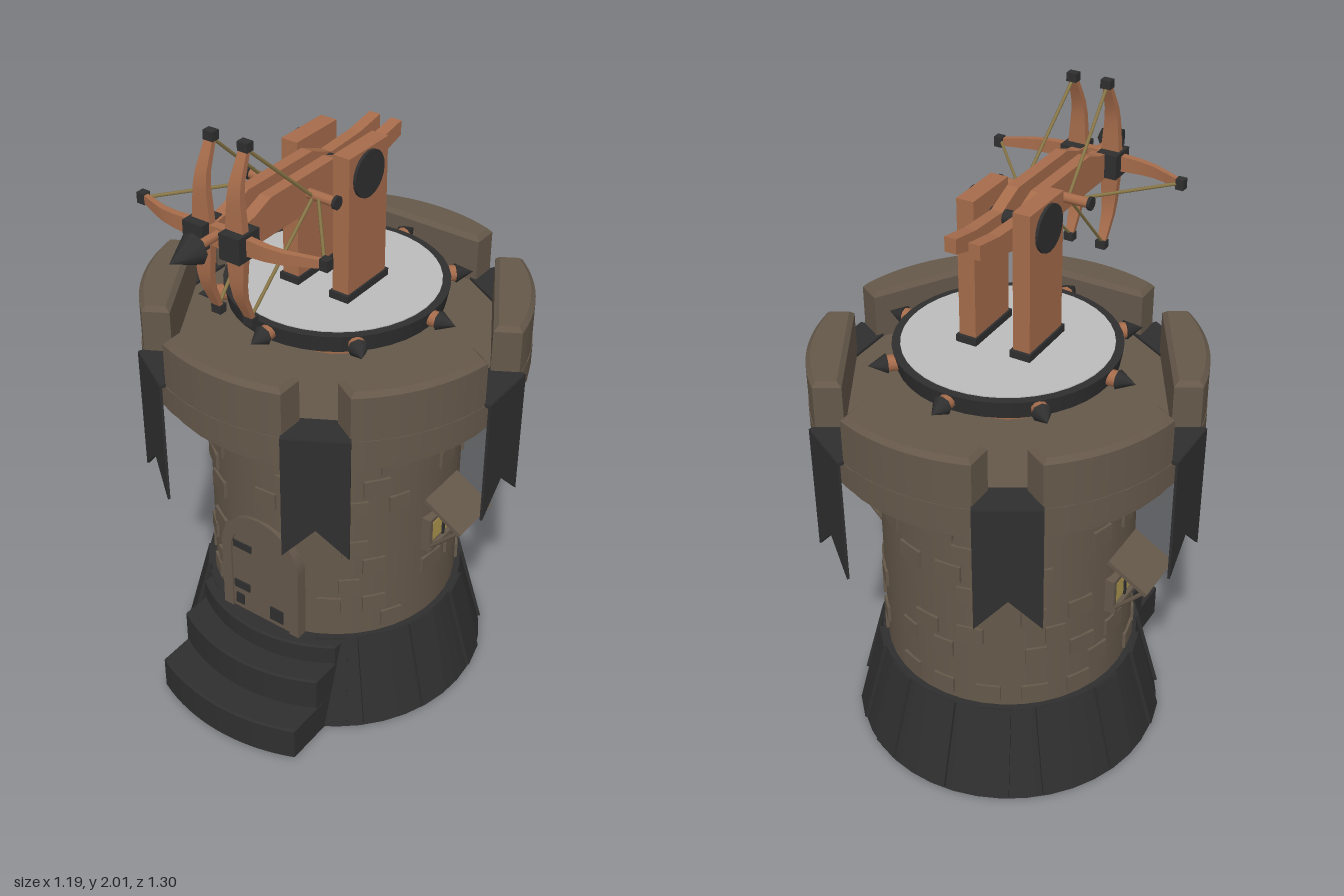
import * as THREE from 'three';

const mat = (name, color) => {
  const m = new THREE.MeshStandardMaterial({ color });
  m.name = name;
  return m;
};
const V = (x, y, z) => new THREE.Vector3(x, y, z);

export function createModel() {
  const stone = mat('stone', 0x65584a);
  const wood = mat('wood', 0xa66c4b);
  const dark = mat('darkIron', 0x2f2f30);
  const disc = mat('paleDisc', 0xbcbcbc);
  const glow = mat('windowYellow', 0xae9750);
  const cord = mat('cord', 0x8a7848);

  const model = new THREE.Group();
  model.name = 'ballistaTower';
  const tower = new THREE.Group();
  tower.name = 'tower';
  tower.position.z = -0.065;
  model.add(tower);

  const add = (parent, name, geo, m, x = 0, y = 0, z = 0) => {
    const mesh = new THREE.Mesh(geo, m);
    mesh.name = name;
    mesh.position.set(x, y, z);
    parent.add(mesh);
    return mesh;
  };
  const box = (p, name, m, w, h, d, x, y, z) => add(p, name, new THREE.BoxGeometry(w, h, d), m, x, y, z);
  // Upright round section between two heights
  const drum = (name, m, rTop, rBot, y0, y1, sides = 40) =>
    add(tower, name, new THREE.CylinderGeometry(rTop, rBot, y1 - y0, sides), m, 0, (y0 + y1) / 2);
  // Group turned about the tower axis; its +z points outward
  const spoke = (name, deg) => {
    const g = new THREE.Group();
    g.name = name;
    g.rotation.y = THREE.MathUtils.degToRad(deg);
    tower.add(g);
    return g;
  };
  // Straight round bar between two points
  const bar = (p, name, m, a, b, r, sides = 6) => {
    const mesh = add(p, name, new THREE.CylinderGeometry(r, r, a.distanceTo(b), sides), m);
    mesh.position.copy(a).add(b).multiplyScalar(0.5);
    mesh.quaternion.setFromUnitVectors(V(0, 1, 0), b.clone().sub(a).normalize());
    return mesh;
  };
  // Block with curved outer face and straight inner face, facing +z
  const arcBlock = (inner, r, half, y0, y1, bevel) => {
    const s = new THREE.Shape();
    const ro = r - bevel;
    s.moveTo(-Math.sin(half) * ro, inner + bevel);
    s.lineTo(Math.sin(half) * ro, inner + bevel);
    s.absarc(0, 0, ro, Math.PI / 2 - half, Math.PI / 2 + half, false);
    const g = new THREE.ExtrudeGeometry(s, {
      depth: y1 - y0 - 2 * bevel, bevelEnabled: bevel > 0, bevelSize: bevel,
      bevelThickness: bevel, bevelSegments: 1, curveSegments: 8,
    });
    return g.rotateX(Math.PI / 2).translate(0, y1 - bevel, 0);
  };

  // Base skirt with overlapping slabs
  drum('baseSkirt', dark, 0.415, 0.495, 0, 0.31);
  for (const deg of [34, 52, 76, 104, 132, 156, 180, -34, -52, -76, -104, -132, -156]) {
    const slab = box(spoke('baseSlab', deg), 'slab', dark, 0.1, 0.31, 0.025, 0, 0.16, 0.449);
    slab.rotation.x = -0.25;
  }

  // Entrance steps
  [[0.64, 0, 0.125], [0.535, 0.115, 0.24], [0.452, 0.23, 0.31]].forEach(([r, y0, y1]) =>
    add(tower, 'step', arcBlock(0.3, r, Math.asin(0.26 / r), y0, y1, 0.006), dark));

  // Body and overhanging crown
  drum('towerBody', stone, 0.395, 0.395, 0.3, 1.09);
  drum('lowerCrown', stone, 0.55, 0.55, 1.08, 1.135);
  drum('upperCrown', stone, 0.585, 0.585, 1.13, 1.205);

  // Raised bricks, staggered and thinned by a seeded generator
  let seed = 7;
  const rand = () => (seed = (seed * 16807) % 2147483647) / 2147483647;
  for (let row = 0; row < 10; row++) {
    for (let col = 0; col < 18; col++) {
      const deg = col * 20 + (row % 2) * 10 + rand() * 4 - 180;
      const y = 0.36 + row * 0.075, a = Math.abs(deg);
      const byDoor = a < 27 && y < 0.76;
      const byWindow = a > 70 && a < 110 && y > 0.53 && y < 0.82;
      if (rand() < 0.5 || byDoor || byWindow) continue;
      box(spoke('brick', deg), 'brickFace', stone, 0.06 + rand() * 0.03, 0.058, 0.02, 0, y, 0.392);
    }
  }

  // Six merlons with a banner over each gap
  const flag = new THREE.Shape([[-0.097, 0.8], [0, 0.9], [0.097, 0.8], [0.097, 1.212], [-0.097, 1.212]]
    .map(([x, y]) => new THREE.Vector2(x, y)));
  const flagGeo = new THREE.ExtrudeGeometry(flag, { depth: 0.008, bevelEnabled: false });
  for (let i = 0; i < 6; i++) {
    add(spoke('merlon', i * 60), 'merlonBlock', arcBlock(0.462, 0.582, 0.345, 1.19, 1.36, 0.014), stone);
    const b = spoke('banner', i * 60 + 30);
    add(b, 'bannerCloth', flagGeo, dark, 0, 0, 0.586);
    box(b, 'bannerFold', dark, 0.194, 0.012, 0.1, 0, 1.208, 0.542);
  }

  // Arched door with frame and iron straps
  const arch = (w, top, Kind = THREE.Shape) => {
    const s = new Kind();
    s.moveTo(-w, 0.3);
    s.lineTo(w, 0.3);
    s.lineTo(w, top - w);
    s.absarc(0, top - w, w, 0, Math.PI, false);
    s.lineTo(-w, 0.3);
    return s;
  };
  const plate = (shape) => new THREE.ExtrudeGeometry(shape, { depth: 0.06, bevelEnabled: false, curveSegments: 16 });
  const frame = arch(0.147, 0.71);
  frame.holes.push(arch(0.112, 0.665, THREE.Path));
  add(tower, 'doorFrame', plate(frame), stone, 0, 0, 0.344);
  add(tower, 'door', plate(arch(0.115, 0.67)), stone, 0, 0, 0.337);
  for (const [x, y, w, h] of [[-0.07, 0.575, 0.07, 0.025], [-0.075, 0.41, 0.06, 0.03],
    [0.06, 0.355, 0.05, 0.05], [-0.085, 0.35, 0.03, 0.04]])
    box(tower, 'doorStrap', dark, w, h, 0.006, x, y, 0.399);

  // Side windows with a sloping hood on struts
  for (const deg of [90, -90]) {
    const w = spoke('window', deg);
    box(w, 'windowBack', dark, 0.15, 0.1, 0.02, 0, 0.64, 0.394);
    for (const s of [-1, 1]) {
      box(w, 'windowPane', glow, 0.056, 0.07, 0.008, s * 0.036, 0.637, 0.404);
      box(w, 'windowJamb', stone, 0.016, 0.12, 0.03, s * 0.08, 0.64, 0.4);
      bar(w, 'hoodStrut', stone, V(s * 0.08, 0.59, 0.405), V(s * 0.08, 0.695, 0.505), 0.007);
    }
    box(w, 'windowMullion', dark, 0.01, 0.1, 0.02, 0, 0.64, 0.402);
    box(w, 'windowSill', stone, 0.176, 0.014, 0.035, 0, 0.587, 0.402);
    box(w, 'windowLintel', stone, 0.176, 0.014, 0.03, 0, 0.695, 0.4);
    box(w, 'windowHood', stone, 0.18, 0.014, 0.15, 0, 0.735, 0.455).rotation.x = 0.53;
  }

  // Turntable with spiked iron rim
  drum('turntablePost', wood, 0.155, 0.155, 1.2, 1.34, 24);
  drum('turntableRim', dark, 0.335, 0.325, 1.325, 1.38, 40);
  drum('turntableTop', disc, 0.31, 0.31, 1.37, 1.383, 40);
  for (let i = 0; i < 8; i++) {
    const g = spoke('rimSpike', i * 45);
    bar(g, 'spikeStud', wood, V(0, 1.355, 0.31), V(0, 1.355, 0.358), 0.024, 10);
    const tip = add(g, 'spikeTip', new THREE.ConeGeometry(0.03, 0.055, 8), dark, 0, 1.355, 0.383);
    tip.rotation.x = Math.PI / 2;
  }

  // Ballista
  const weapon = new THREE.Group();
  weapon.name = 'ballista';
  model.add(weapon);
  const stockShape = new THREE.Shape([[-0.3, 1.755], [-0.14, 1.71], [0.02, 1.7], [0.44, 1.7], [0.44, 1.775],
    [0.38, 1.785], [0.31, 1.812], [0.03, 1.812], [-0.06, 1.775], [-0.2, 1.782], [-0.3, 1.8]]
    .map(([z, y]) => new THREE.Vector2(-z, y)));
  const stockGeo = new THREE.ExtrudeGeometry(stockShape, { depth: 0.036, bevelEnabled: false })
    .rotateY(Math.PI / 2).translate(-0.018, 0, 0);
  // Bow limb pair: tapers and sweeps back toward both tips
  const bow = (name, half, width) => {
    const geo = new THREE.BoxGeometry(width, half * 2, 0.026, 1, 12, 1);
    const p = geo.attributes.position;
    for (let i = 0; i < p.count; i++) {
      const t = Math.abs(p.getY(i)) / half;
      p.setX(i, p.getX(i) * (1 - 0.62 * t));
      p.setZ(i, p.getZ(i) * (1 - 0.4 * t) - 0.045 * Math.max(0, (t - 0.6) / 0.4));
    }
    geo.computeVertexNormals();
    const g = new THREE.Group();
    g.name = name;
    add(g, 'bowLimbs', geo, wood);
    for (const s of [-1, 1]) box(g, 'bowTip', dark, 0.032, 0.026, 0.026, 0, s * half, -0.044);
    weapon.add(g);
    return g;
  };

  for (const s of [-1, 1]) {
    box(weapon, 'supportPost', wood, 0.054, 0.45, 0.185, s * 0.088, 1.605, -0.05);
    box(weapon, 'postFoot', dark, 0.066, 0.025, 0.205, s * 0.088, 1.393, -0.05);
    bar(weapon, 'pivotCap', dark, V(s * 0.11, 1.755, -0.045), V(s * 0.124, 1.755, -0.045), 0.07, 20);
    add(weapon, 'stock', stockGeo, wood, s * 0.037, 0, 0);
    bow('uprightBow', 0.255, 0.064).position.set(s * 0.055, 1.743, 0.452);
    box(weapon, 'bowClamp', dark, 0.066, 0.075, 0.085, s * 0.06, 1.743, 0.45);
    for (const d of [-1, 1])
      bar(weapon, 'uprightString', cord, V(s * 0.055, 1.743 + d * 0.25, 0.41), V(s * 0.073, 1.753, 0.15), 0.005);
    bar(weapon, 'crossString', cord, V(s * 0.3, 1.745, 0.41), V(s * 0.09, 1.753, 0.15), 0.005);
    bar(weapon, 'drawBarCap', dark, V(s * 0.142, 1.755, 0.145), V(s * 0.152, 1.755, 0.145), 0.02, 10);
  }
  const cross = bow('crossBow', 0.303, 0.06);
  cross.position.set(0, 1.745, 0.452);
  cross.rotation.z = Math.PI / 2;
  bar(weapon, 'pivotAxle', dark, V(-0.11, 1.755, -0.045), V(0.11, 1.755, -0.045), 0.022, 12);
  bar(weapon, 'drawBar', wood, V(-0.145, 1.755, 0.145), V(0.145, 1.755, 0.145), 0.015, 10);
  // Bolt
  bar(weapon, 'boltShaft', wood, V(0, 1.755, 0.03), V(0, 1.755, 0.58), 0.013, 8);
  add(weapon, 'boltHead', new THREE.ConeGeometry(0.046, 0.095, 8), dark, 0, 1.755, 0.605).rotation.x = Math.PI / 2;

  return model;
}
